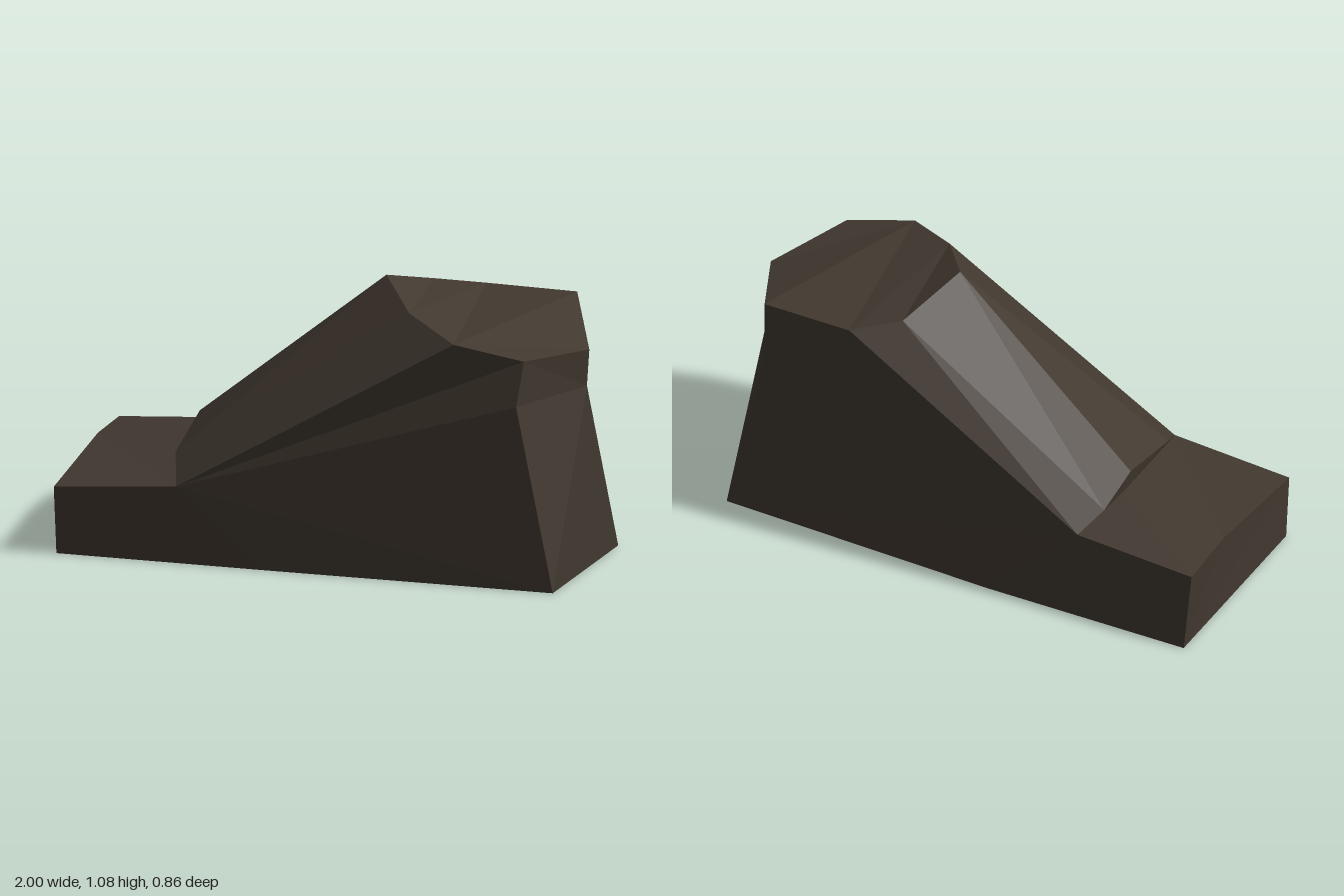
import * as THREE from 'three';

// Corner points, listed section by section
const P = {
  // sole outline (front and back edges)
  f0: [-0.955, 0, 0.41], f1: [-0.15, 0, 0.375], f2: [0.985, 0, 0.315],
  b0: [-0.975, 0, -0.405], b1: [-0.15, 0, -0.43], b2: [0.975, 0, -0.42],
  // toe top
  toeBack: [-1, 0.325, -0.39], toeMid: [-0.985, 0.33, -0.12], toeFront: [-0.96, 0.26, 0.425],
  // lower end of the instep, and the toe crease below it
  l1: [-0.52, 0.36, -0.405], l2: [-0.57, 0.42, -0.29], l3: [-0.565, 0.465, -0.08],
  l4: [-0.54, 0.39, 0.25], l5: [-0.48, 0.3, 0.405], crease: [-0.55, 0.385, -0.11],
  // collar rim, from back to front round the peak, then round the heel
  r1: [0.45, 0.967, -0.42], r2: [0.285, 0.998, -0.305], r3: [0.2, 1.075, -0.02],
  r4: [0.375, 1.0, 0.21], r5: [0.605, 0.935, 0.355], r6: [0.865, 0.88, 0.3],
  r7: [1, 0.855, -0.04], r8: [0.81, 0.965, -0.425],
  // heel waist
  w1: [0.845, 0.71, 0.33], w2: [0.985, 0.71, -0.055], w3: [0.81, 0.71, -0.422],
};

// Each part is a list of polygons, fanned from their first corner
const PARTS = {
  toeTop: ['toeBack toeMid crease l1', 'toeMid toeFront l5 crease'],
  toeEnd: ['b0 toeBack toeMid toeFront f0'],
  instep: ['r3 r4 l4 l3', 'r4 r5 l5 l4', 'r3 r2 l2 l3', 'r2 r1 l1 l2'],
  instepEnd: ['crease l1 l2 l3 l4 l5'],
  collarTop: ['r2 r3 r4', 'r1 r2 r4', 'r1 r4 r5', 'r1 r5 r8', 'r5 r6 r7 r8'],
  frontSide: ['l5 toeFront f0 f1 f2 w1 r6 r5'],
  backSide: ['l1 toeBack b0 b1 b2 w3 r8 r1'],
  heel: ['r6 r7 w2 w1', 'r7 r8 w3 w2', 'w1 w2 f2', 'w2 f2 b2', 'w3 w2 b2'],
  sole: ['f0 f1 f2 b2 b1 b0'],
};

const CORE = new THREE.Vector3(0, 0.2, 0);

// Turns polygons into flat facets that face away from the core
function facets(polygons) {
  const out = [];
  for (const text of polygons) {
    const pts = text.split(' ').map((n) => new THREE.Vector3(...P[n]));
    const normal = new THREE.Vector3();
    const mid = new THREE.Vector3();
    pts.forEach((p, i) => {
      normal.add(p.clone().cross(pts[(i + 1) % pts.length]));
      mid.addScaledVector(p, 1 / pts.length);
    });
    if (normal.dot(mid.sub(CORE)) < 0) pts.reverse().unshift(pts.pop());
    for (let i = 1; i < pts.length - 1; i++) {
      for (const p of [pts[0], pts[i], pts[i + 1]]) out.push(p.x, p.y, p.z);
    }
  }
  const geometry = new THREE.BufferGeometry();
  geometry.setAttribute('position', new THREE.Float32BufferAttribute(out, 3));
  geometry.computeVertexNormals();
  return geometry;
}

export function createModel() {
  const model = new THREE.Group();
  model.name = 'facetedBoot';
  const darkBrown = new THREE.MeshStandardMaterial({ color: 0x423930 });
  darkBrown.name = 'darkBrown';
  for (const [name, polygons] of Object.entries(PARTS)) {
    const mesh = new THREE.Mesh(facets(polygons), darkBrown);
    mesh.name = name;
    model.add(mesh);
  }
  return model;
}
